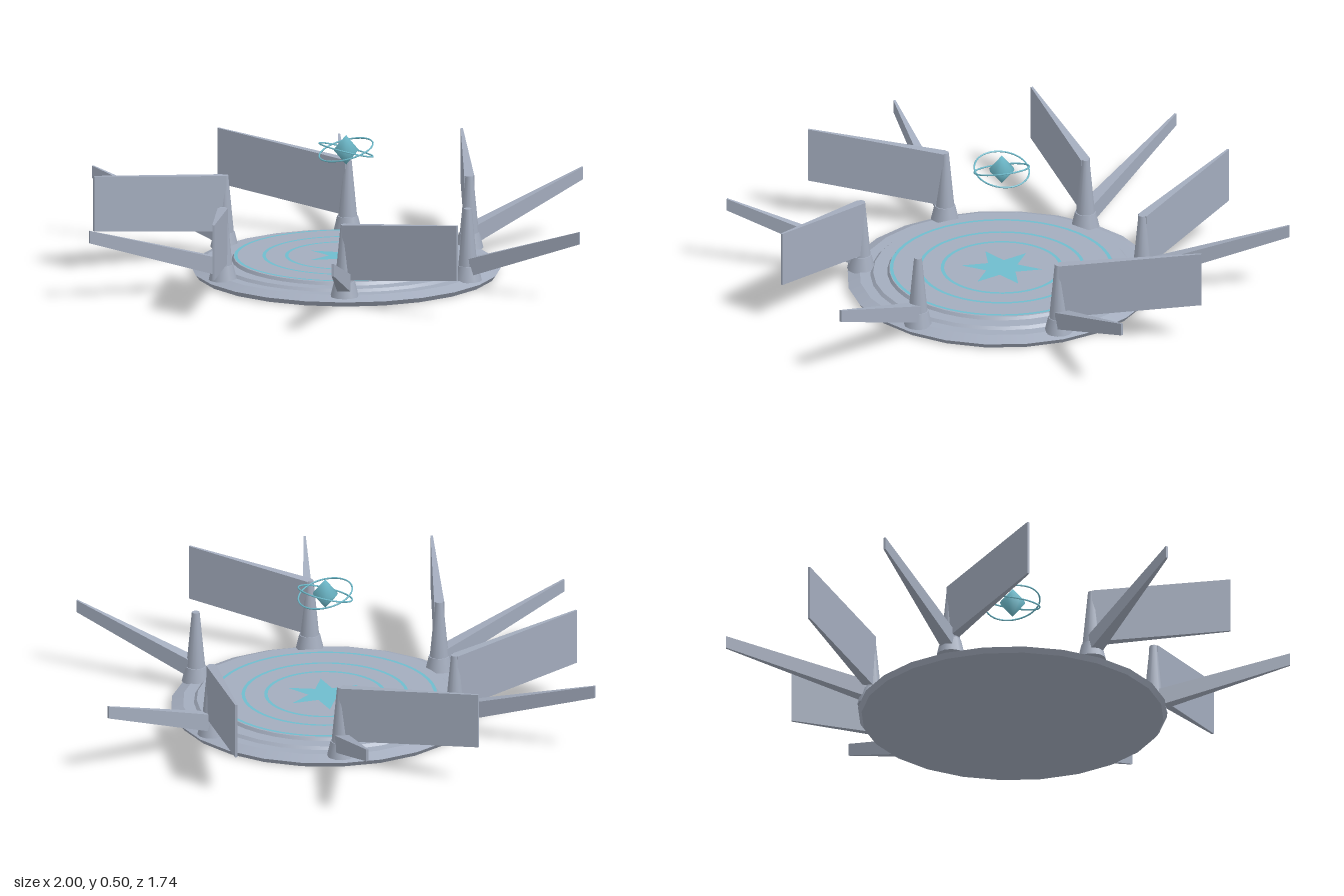
import * as THREE from 'three';

const metal = new THREE.MeshStandardMaterial({ color: 0xa3acbd });
metal.name = 'blue grey metal';
const glow = new THREE.MeshStandardMaterial({ color: 0x6fbccd });
glow.name = 'cyan crystal';

const CX = 0.022, CZ = 0.022; // centre of the platform

function add(parent, name, geometry, material, x = 0, y = 0, z = 0) {
  const mesh = new THREE.Mesh(geometry, material);
  mesh.name = name;
  mesh.position.set(x, y, z);
  parent.add(mesh);
  return mesh;
}

// Tapered upright plank between two points; each end is { p, h, t }: centre, height, thickness
function plank(a, b) {
  const g = new THREE.BoxGeometry(1, 1, 1);
  const pos = g.attributes.position;
  const side = new THREE.Vector3(-(b.p.z - a.p.z), 0, b.p.x - a.p.x).normalize();
  const v = new THREE.Vector3();
  for (let i = 0; i < pos.count; i++) {
    const end = pos.getX(i) > 0 ? b : a;
    v.copy(end.p).addScaledVector(side, pos.getZ(i) * end.t);
    v.y += pos.getY(i) * end.h;
    pos.setXYZ(i, v.x, v.y, v.z);
  }
  g.computeVertexNormals();
  return g;
}

// Flat star lying in the ground plane
function starGeometry(points, outer, inner) {
  const shape = new THREE.Shape();
  for (let i = 0; i < points * 2; i++) {
    const r = i % 2 ? inner : outer;
    const a = (i * Math.PI) / points;
    if (i === 0) shape.moveTo(r, 0);
    else shape.lineTo(r * Math.cos(a), r * Math.sin(a));
  }
  return new THREE.ShapeGeometry(shape).rotateX(-Math.PI / 2);
}

export function createModel() {
  const model = new THREE.Group();
  model.name = 'platform with blades';

  // Stepped round platform
  const base = new THREE.Group();
  base.name = 'platform';
  base.position.set(CX, 0, CZ);
  model.add(base);
  const tier = (name, r0, r1, y0, y1, n) =>
    add(base, name, new THREE.CylinderGeometry(r1, r0, y1 - y0, n), metal, 0, (y0 + y1) / 2, 0);
  tier('lowerRim', 0.535, 0.548, 0, 0.018, 24);
  tier('rimBevel', 0.548, 0.505, 0.018, 0.035, 24);
  tier('middleStep', 0.465, 0.455, 0.035, 0.045, 32);
  tier('upperDisc', 0.405, 0.398, 0.045, 0.056, 40);

  // Inlaid rings and star on the top
  for (const r of [0.39, 0.29, 0.21]) {
    const ring = new THREE.RingGeometry(r - 0.006, r + 0.006, 48).rotateX(-Math.PI / 2);
    add(base, 'inlaidRing', ring, glow, 0, 0.059, 0);
  }
  add(base, 'inlaidStar', starGeometry(6, 0.145, 0.06), glow, 0, 0.059, 0);

  // Floating crystal with two crossed orbit rings
  const crystal = add(base, 'crystal', new THREE.SphereGeometry(0.045, 12, 2), glow, 0, 0.443, 0);
  crystal.scale.y = 1.2;
  for (const s of [-1, 1]) {
    const orbit = new THREE.TorusGeometry(0.098, 0.003, 6, 40).rotateX(Math.PI / 2);
    add(base, 'orbitRing', orbit, glow, 0, 0.443, 0).rotation.z = s * 0.28;
  }

  // Six posts, each with a rising arm; five of them also carry a fin
  for (let i = 0; i < 6; i++) {
    const a = (i * Math.PI) / 3;
    const x = CX + 0.5 * Math.cos(a), z = CZ + 0.5 * Math.sin(a);
    const station = new THREE.Group();
    station.name = 'bladeStation';
    model.add(station);
    add(station, 'socket', new THREE.CylinderGeometry(0.037, 0.05, 0.055, 12), metal, x, 0.0575, z);
    add(station, 'post', new THREE.CylinderGeometry(0.014, 0.034, 0.21, 12), metal, x, 0.185, z);
    add(station, 'arm', plank(
      { p: new THREE.Vector3(x, 0.075, z), h: 0.065, t: 0.05 },
      { p: new THREE.Vector3(Math.cos(a), 0.238, Math.sin(a) - 0.012), h: 0.045, t: 0.008 },
    ), metal);
    if (i === 1) continue;
    const f = a - Math.PI / 6;
    add(station, 'fin', plank(
      { p: new THREE.Vector3(x, 0.19, z), h: 0.2, t: 0.036 },
      { p: new THREE.Vector3(0.862 * Math.cos(f), 0.243, 0.862 * Math.sin(f)), h: 0.2, t: 0.008 },
    ), metal);
  }
  return model;
}
